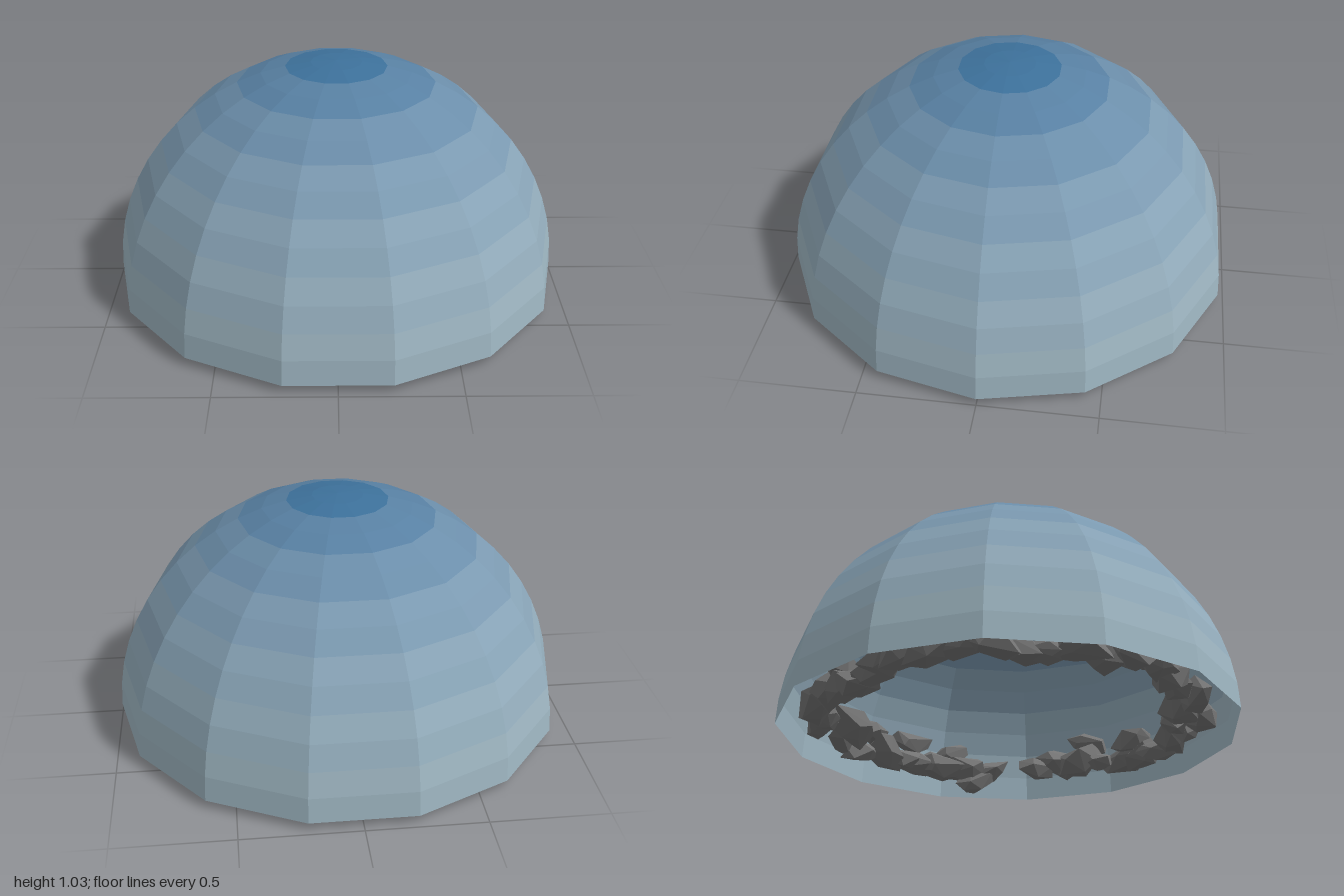
import * as THREE from 'three';
import { ConvexGeometry } from 'three/addons/geometries/ConvexGeometry.js';

const BASE = 0.035; // height of the dome rim
const SIDES = 14;
const BANDS = 7;

// small seeded generator
function seeded(seed) {
  return () => {
    seed = (seed * 16807) % 2147483647;
    return seed / 2147483647;
  };
}

// open faceted half sphere, one band per tint from deep blue to pale grey-blue
function createDome() {
  const dome = new THREE.Group();
  dome.name = 'dome';
  const top = new THREE.Color(0x3d719b);
  const rim = new THREE.Color(0xa0b8c4);
  const step = Math.PI / 2 / BANDS;
  for (let i = 0; i < BANDS; i++) {
    const band = new THREE.Mesh(
      new THREE.SphereGeometry(1, SIDES, 1, 0, Math.PI * 2, i * step, step),
      new THREE.MeshStandardMaterial({
        color: top.clone().lerp(rim, i / (BANDS - 1)),
        flatShading: true,
        side: THREE.DoubleSide,
      })
    );
    band.name = 'domeBand' + (i + 1);
    dome.add(band);
  }
  dome.position.y = BASE;
  return dome;
}

// angular boulder: convex hull of points scattered on an ellipsoid
function rockGeometry(rand, length, height, depth) {
  const points = [];
  const count = 13;
  for (let i = 0; i < count; i++) {
    const y = 1 - (2 * (i + 0.5)) / count;
    const r = Math.sqrt(1 - y * y);
    const a = i * 2.4 + rand() * 0.9;
    const k = 0.8 + rand() * 0.4;
    points.push(new THREE.Vector3(
      Math.cos(a) * r * length * k, y * height * k, Math.sin(a) * r * depth * k));
  }
  return new ConvexGeometry(points);
}

export function createModel() {
  const model = new THREE.Group();
  model.name = 'domeWithRocks';
  model.add(createDome());

  const rand = seeded(4271);
  const stone = new THREE.MeshStandardMaterial({ color: 0x757575, flatShading: true });
  const rocks = new THREE.Group();
  rocks.name = 'rockRing';
  model.add(rocks);

  // place a rock by angle and radius, with its lowest point at the given height
  function addRock(angle, radius, bottom, size) {
    const geometry = rockGeometry(rand, 0.125 * size, 0.065 * size, 0.08 * size);
    geometry.rotateZ((rand() - 0.5) * 0.7);
    geometry.rotateY(Math.PI / 2 - angle + (rand() - 0.5) * 0.9);
    geometry.computeBoundingBox();
    const rock = new THREE.Mesh(geometry, stone);
    rock.name = 'rock';
    rock.position.set(
      Math.cos(angle) * radius, bottom - geometry.boundingBox.min.y, Math.sin(angle) * radius);
    rocks.add(rock);
  }

  // ring of rocks with a narrow gap on the left side
  const count = 42;
  for (let i = 0; i < count; i++) {
    const angle = 0.1 + (i / (count - 1)) * (Math.PI * 2 - 0.36);
    addRock(angle, 0.78 + (rand() - 0.5) * 0.12, BASE + rand() * 0.03, 0.75 + rand() * 0.4);
  }

  // upper rocks piled on the ring
  for (const angle of [0.45, 0.8, 1.5, 2.2, 2.5, 3.3, 4.2, 5.2, 5.5, 5.8]) {
    addRock(angle, 0.76, 0.12 + rand() * 0.04, 0.7 + rand() * 0.3);
  }

  // one rock that reaches down to the ground
  addRock(-0.31, 0.77, 0, 0.95);
  return model;
}
